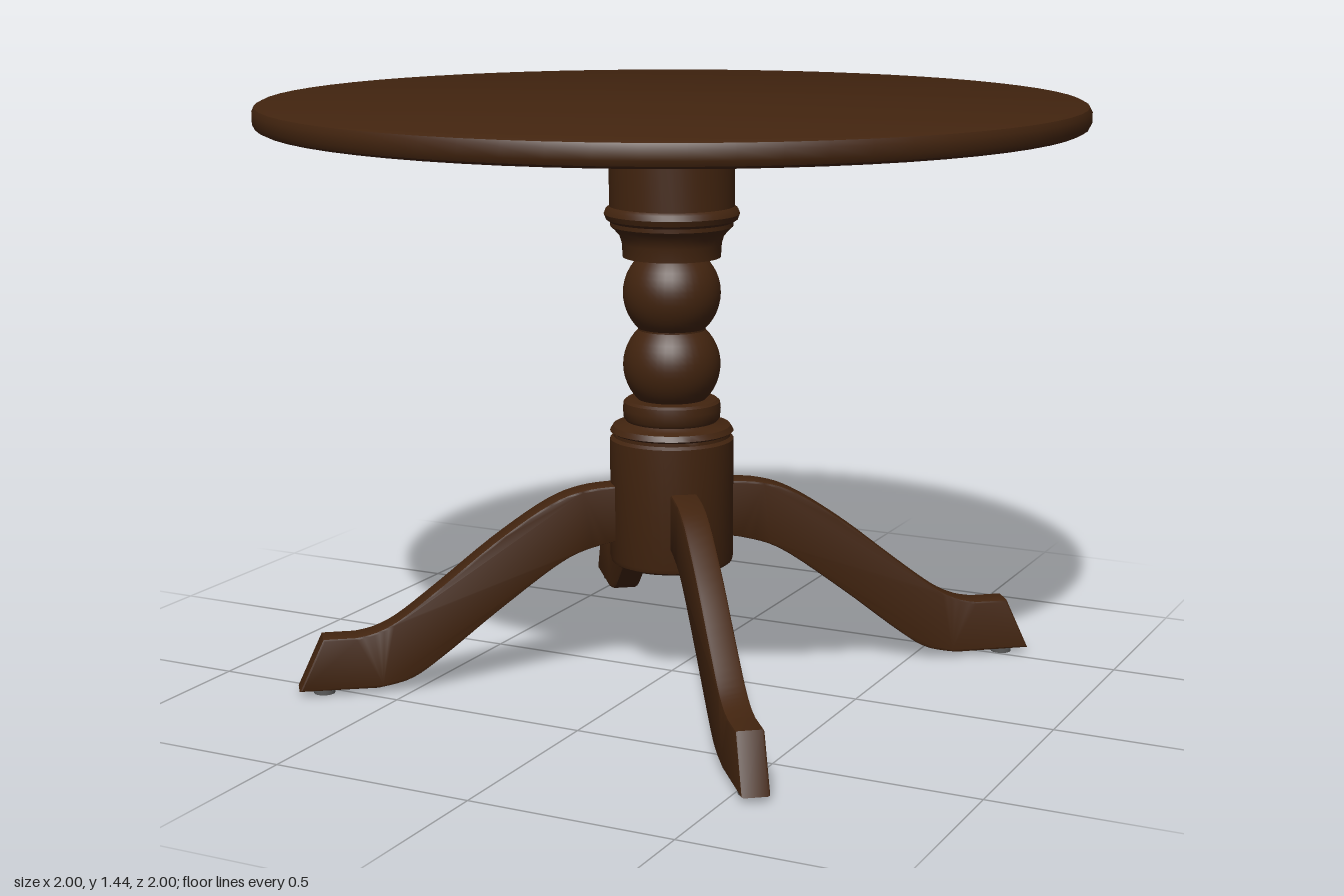
import * as THREE from 'three';
import { toCreasedNormals } from 'three/addons/utils/BufferGeometryUtils.js';

const wood = new THREE.MeshStandardMaterial({ color: 0x42240f });
wood.name = 'dark wood';
const metal = new THREE.MeshStandardMaterial({ color: 0x5a5a5a });
metal.name = 'grey metal';

function part(name, geometry, material, parent) {
  const mesh = new THREE.Mesh(geometry, material);
  mesh.name = name;
  parent.add(mesh);
  return mesh;
}

// Turned part from [radius, height] pairs, listed bottom to top
function turned(points, segments) {
  const lathe = new THREE.LatheGeometry(points.map(([r, y]) => new THREE.Vector2(r, y)), segments);
  return toCreasedNormals(lathe, 0.6);
}

// Profile points of a ball bead between two heights
function bead(cy, radius, halfHeight) {
  const points = [];
  const a = Math.asin(halfHeight / radius);
  for (let i = 0; i <= 12; i++) {
    const t = -a + (2 * a * i) / 12;
    points.push([radius * Math.cos(t), cy + radius * Math.sin(t)]);
  }
  return points;
}

// Side outline of a leg: x runs outward, y up
function legGeometry() {
  const width = 0.066, bevel = 0.006;
  const v = (x, y) => new THREE.Vector2(x, y);
  const s = new THREE.Shape();
  s.moveTo(0.12, 0.36);
  s.splineThru([v(0.18, 0.352), v(0.28, 0.315), v(0.44, 0.2), v(0.58, 0.09), v(0.66, 0.037), v(0.74, 0.018)]);
  s.lineTo(0.925, 0.018);
  s.lineTo(0.868, 0.139);
  s.lineTo(0.79, 0.139);
  s.splineThru([v(0.74, 0.15), v(0.68, 0.18), v(0.58, 0.255), v(0.44, 0.365), v(0.31, 0.45), v(0.22, 0.482), v(0.12, 0.49)]);
  s.closePath();
  const geometry = new THREE.ExtrudeGeometry(s, {
    depth: width - 2 * bevel, bevelEnabled: true, bevelSize: bevel,
    bevelThickness: bevel, bevelSegments: 2, curveSegments: 4,
  });
  geometry.translate(0, 0, -(width / 2 - bevel));
  return toCreasedNormals(geometry, 0.5);
}

export function createModel() {
  const table = new THREE.Group();
  table.name = 'pedestalTable';

  // Round top with softened rim
  part('tableTop', turned([
    [0, 1.38], [0.982, 1.38], [0.994, 1.386], [1, 1.398],
    [1, 1.422], [0.994, 1.434], [0.982, 1.44], [0, 1.44],
  ], 64), wood, table);

  // Mounting plate and its screws
  const plate = part('mountingPlate', new THREE.CylinderGeometry(0.305, 0.305, 0.036, 48), wood, table);
  plate.position.y = 1.363;
  for (const [x, z] of [[0.195, -0.13], [-0.16, -0.18], [0.18, 0.15], [-0.16, 0.15]]) {
    const screw = part('screw', new THREE.CylinderGeometry(0.024, 0.014, 0.018, 12), metal, table);
    screw.position.set(x, 1.336, z);
  }

  // Turned column
  part('column', turned([
    [0, 0.29], [0.143, 0.29], [0.15, 0.295], [0.153, 0.305], [0.153, 0.605], [0.145, 0.612],
    [0.145, 0.62], [0.153, 0.625], [0.145, 0.638], [0.125, 0.642], [0.113, 0.65],
    [0.119, 0.658], [0.121, 0.68], [0.119, 0.697], [0.112, 0.703], [0.085, 0.705],
    ...bead(0.79, 0.12, 0.087), ...bead(0.968, 0.12, 0.087),
    [0.12, 1.057], [0.122, 1.09], [0.128, 1.11], [0.141, 1.125], [0.15, 1.133], [0.15, 1.143],
    [0.161, 1.15], [0.166, 1.163], [0.161, 1.176], [0.153, 1.182], [0.153, 1.346],
  ], 40), wood, table);

  // Four curved legs, each with a glide under the foot
  const legShape = legGeometry();
  for (let i = 0; i < 4; i++) {
    const leg = new THREE.Group();
    leg.name = 'leg';
    leg.rotation.y = THREE.MathUtils.degToRad(-52.5 + 90 * i);
    part('legBody', legShape, wood, leg);
    const glide = part('footGlide', new THREE.CylinderGeometry(0.026, 0.026, 0.014, 16), metal, leg);
    glide.position.set(0.87, 0.007, 0);
    table.add(leg);
  }
  return table;
}
